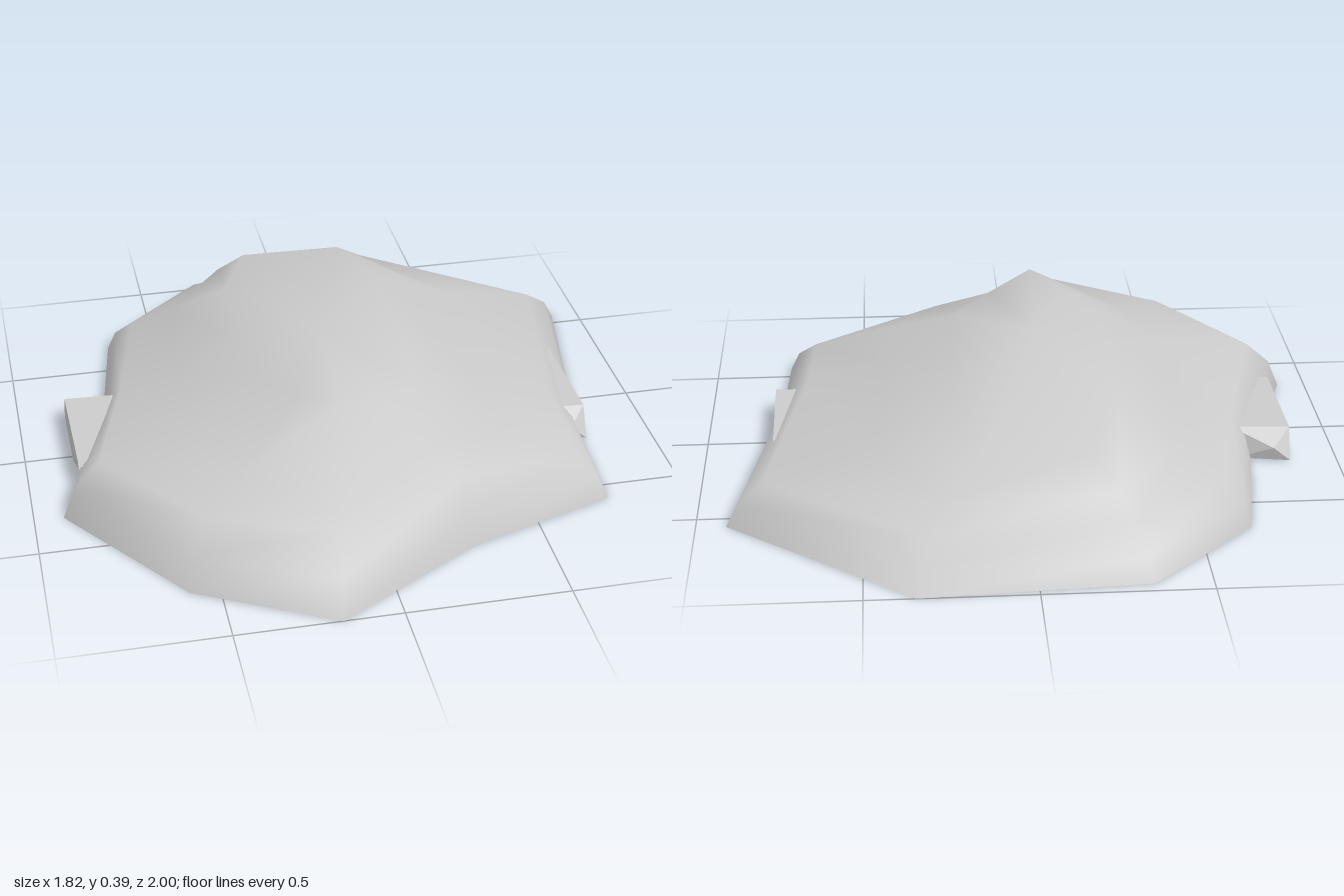
import * as THREE from 'three';
import { ConvexGeometry } from 'three/addons/geometries/ConvexGeometry.js';

// One row per corner of the outline:
// foot (x, z), then shoulder, slope and crown as (x, y, z)
const columns = [
  [[-0.18, 1.0], [-0.16, 0.2, 0.85], [-0.13, 0.205, 0.78], [-0.07, 0.39, 0.47]],
  [[0.27, 0.73], [0.25, 0.19, 0.64], [0.18, 0.22, 0.52], [0.07, 0.34, 0.4]],
  [[0.75, 0.57], [0.66, 0.12, 0.5], [0.42, 0.2, 0.44], [0.2, 0.31, 0.28]],
  [[0.77, 0.22], [0.68, 0.14, 0.16], [0.42, 0.21, 0.1], [0.22, 0.34, 0]],
  [[0.91, -0.55], [0.8, 0.12, -0.51], [0.46, 0.21, -0.45], [0.22, 0.345, -0.35]],
  [[0.35, -1.0], [0.31, 0.11, -0.86], [0.26, 0.19, -0.79], [0.16, 0.28, -0.7]],
  [[-0.33, -0.96], [-0.29, 0.12, -0.83], [-0.25, 0.2, -0.77], [-0.17, 0.285, -0.7]],
  [[-0.66, -0.65], [-0.58, 0.13, -0.58], [-0.45, 0.21, -0.51], [-0.28, 0.33, -0.4]],
  [[-0.73, -0.2], [-0.67, 0.14, -0.15], [-0.49, 0.21, -0.1], [-0.3, 0.34, -0.02]],
  [[-0.91, 0.33], [-0.79, 0.17, 0.3], [-0.49, 0.21, 0.26], [-0.27, 0.34, 0.2]],
  [[-0.59, 0.78], [-0.53, 0.18, 0.66], [-0.4, 0.21, 0.52], [-0.18, 0.36, 0.36]],
];

// Rings of the mound from the ground up, with a rim between foot and shoulder
function moundGeometry() {
  const n = columns.length;
  const feet = columns.map(([[x, z]]) => [x, 0, z]);
  const rims = columns.map(([[x, z], s]) => [x + (s[0] - x) * 0.32, s[1] * 0.55, z + (s[2] - z) * 0.32]);
  const rings = [feet, rims, ...[1, 2, 3].map((k) => columns.map((c) => c[k]))];
  const points = [...rings.flat(), [-0.05, 0.375, 0]];
  const index = [];
  for (let i = 0; i < n; i++) {
    const j = (i + 1) % n;
    for (let r = 0; r < rings.length - 1; r++) {
      const a = r * n + i, b = r * n + j;
      index.push(a, b, b + n, a, b + n, a + n);
    }
    const top = (rings.length - 1) * n;
    index.push(top + i, top + j, points.length - 1);
  }
  const geometry = new THREE.BufferGeometry();
  geometry.setAttribute('position', new THREE.Float32BufferAttribute(points.flat(), 3));
  geometry.setIndex(index);
  geometry.computeVertexNormals();
  return geometry;
}

export function createModel() {
  const group = new THREE.Group();
  const material = new THREE.MeshStandardMaterial({ color: 0xcccccc, roughness: 0.9 });
  const add = (name, geometry) => {
    const mesh = new THREE.Mesh(geometry, material);
    mesh.name = name;
    group.add(mesh);
    return mesh;
  };

  add('rockMound', moundGeometry());

  // Flat base
  const outline = new THREE.Shape(columns.map(([[x, z]]) => new THREE.Vector2(x, z)));
  add('underside', new THREE.ShapeGeometry(outline).rotateX(Math.PI / 2));

  // Wedge-shaped chips at both sides, turned half round from each other
  const chip = new ConvexGeometry([
    [0.6, 0.1, 0.18], [0.785, 0.1, 0.19], [0.78, 0.1, -0.18], [0.74, 0.1, -0.18],
    [0.78, 0.075, -0.19], [0.785, 0, -0.02], [0.785, 0.005, 0.24], [0.73, 0.05, 0.24],
    [0.62, 0.0, 0.2],
  ].map((p) => new THREE.Vector3(...p)));
  add('leftChip', chip);
  const rightChip = add('rightChip', chip);
  rightChip.rotation.y = Math.PI;
  rightChip.position.x = -0.065;

  return group;
}
